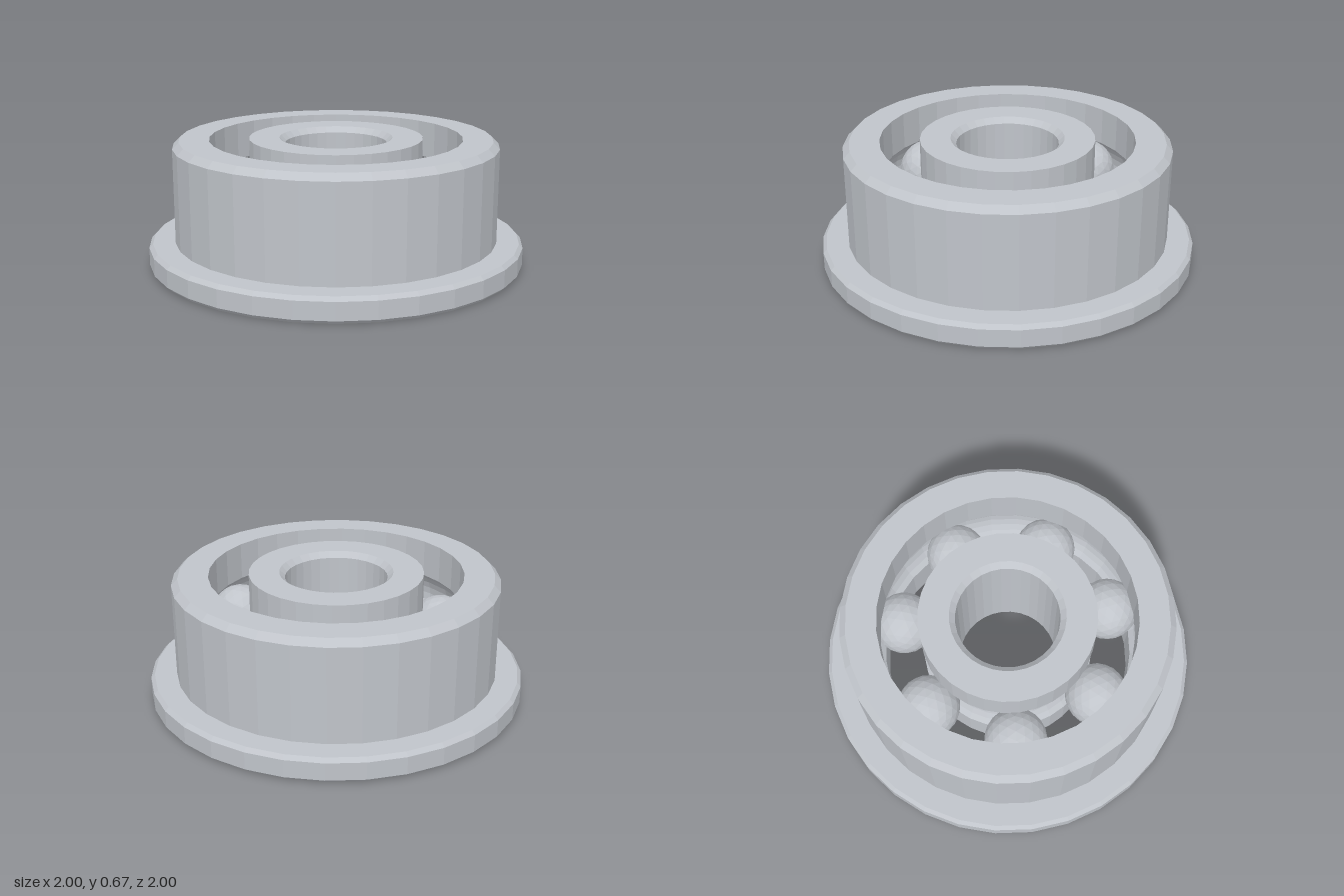
import * as THREE from 'three';

const SIDES = 32;
const HEIGHT = 0.67;
const MID = HEIGHT / 2;
const PITCH = 0.565; // radius of the circle of ball centres
const BALL = 0.165;
const BALL_COUNT = 7;

// Give every face its own normal
function faceted(geometry) {
  const g = geometry.index ? geometry.toNonIndexed() : geometry;
  g.computeVertexNormals();
  return g;
}

// Arc of the ball groove cut into a wall of the given radius, listed by rising y
function groove(wall, steps = 8) {
  const r = BALL + 0.005;
  const side = Math.sign(wall - PITCH);
  const half = Math.acos(Math.abs(wall - PITCH) / r);
  return Array.from({ length: steps + 1 }, (_, i) => {
    const a = -half + (2 * half * i) / steps;
    return [PITCH + side * r * Math.cos(a), MID + r * Math.sin(a)];
  });
}

// Closed ring from a profile that rises outside and falls inside
function ring(name, profile, material) {
  const points = [...profile, profile[0]].map(([x, y]) => new THREE.Vector2(x, y));
  const mesh = new THREE.Mesh(faceted(new THREE.LatheGeometry(points, SIDES)), material);
  mesh.name = name;
  return mesh;
}

export function createModel() {
  const group = new THREE.Group();
  group.name = 'flangedBallBearing';
  const steel = new THREE.MeshStandardMaterial({ color: 0xc0c4ca });
  steel.name = 'steel';

  // Outer ring with its chamfered flange and inside groove
  group.add(ring('outerRing', [
    [0.67, 0], [0.98, 0], [1, 0.02], [1, 0.113], [0.98, 0.133],
    [0.862, 0.133], [0.862, 0.636], [0.828, HEIGHT], [0.67, HEIGHT],
    ...groove(0.67).reverse(),
  ], steel));

  // Inner ring with outside groove and chamfered bore
  group.add(ring('innerRing', [
    [0.27, 0.03], [0.3, 0], [0.46, 0],
    ...groove(0.46),
    [0.46, HEIGHT], [0.3, HEIGHT], [0.27, HEIGHT - 0.03],
  ], steel));

  // Balls spaced evenly between the rings
  const balls = new THREE.Group();
  balls.name = 'balls';
  const ballGeometry = faceted(new THREE.IcosahedronGeometry(BALL, 3));
  for (let i = 0; i < BALL_COUNT; i++) {
    const a = (i / BALL_COUNT) * Math.PI * 2;
    const ball = new THREE.Mesh(ballGeometry, steel);
    ball.name = 'ball';
    ball.position.set(PITCH * Math.cos(a), MID, PITCH * Math.sin(a));
    ball.rotation.y = -a;
    balls.add(ball);
  }
  group.add(balls);
  return group;
}
